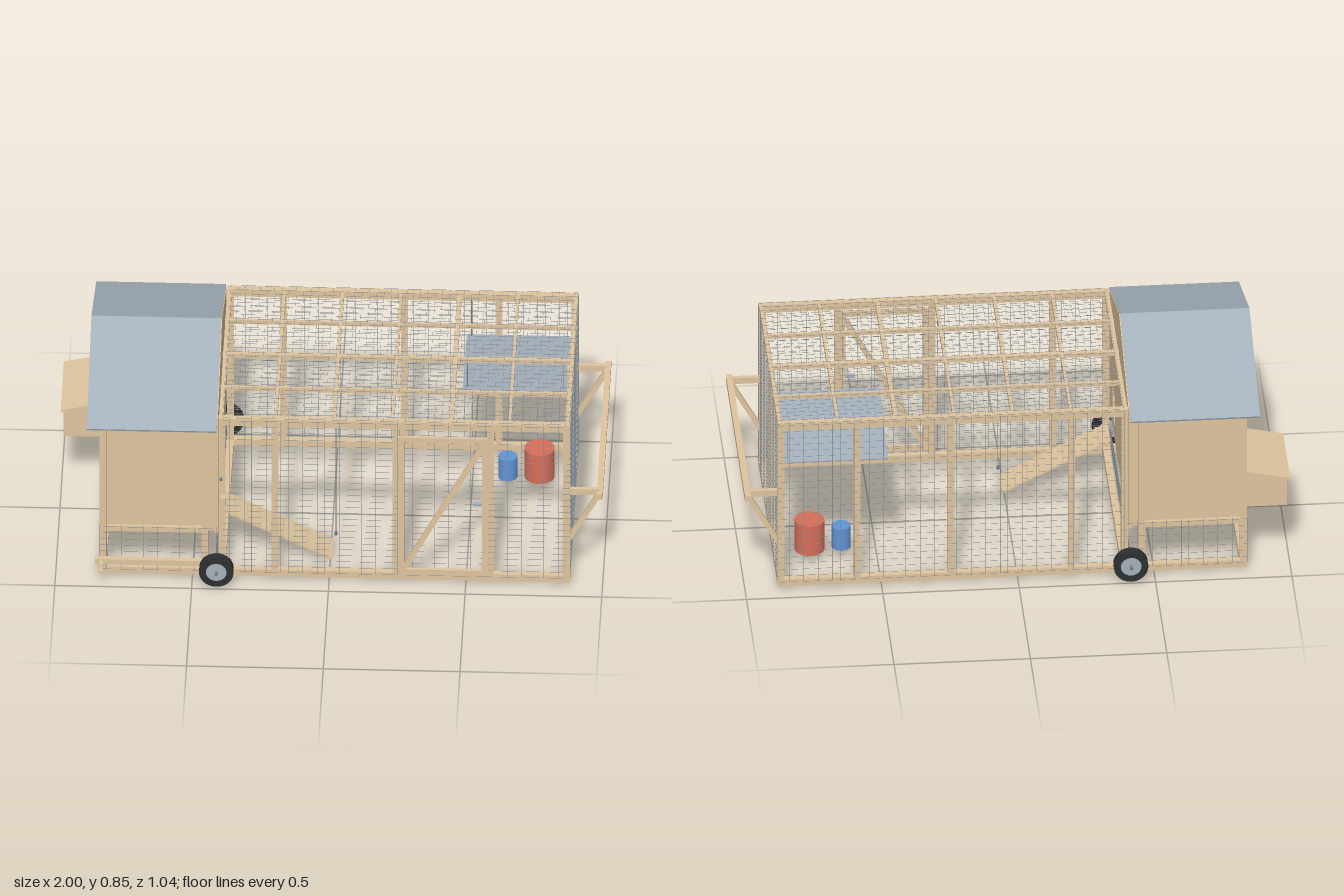
import * as THREE from 'three';
import { mergeGeometries } from 'three/addons/utils/BufferGeometryUtils.js';

const material = (name, color) => {
  const m = new THREE.MeshStandardMaterial({ color });
  m.name = name;
  return m;
};

export function createModel() {
  const root = new THREE.Group();
  root.name = 'mobileCoop';
  const wood = material('wood', 0xdfc59f);
  const metal = material('roof metal', 0xa5b1bb);
  const steel = material('dark steel', 0x747b83);
  const wireMat = material('wire', 0x808a94);
  const rubber = material('tyre rubber', 0x2d2f31);
  const red = material('feeder red', 0xd86e5a);
  const blue = material('drinker blue', 0x5f95d8);

  const add = (name, geo, mat, parent = root) => {
    const m = new THREE.Mesh(geo, mat);
    m.name = name;
    parent.add(m);
    return m;
  };
  const boxGeo = (x0, x1, y0, y1, z0, z1) =>
    new THREE.BoxGeometry(x1 - x0, y1 - y0, z1 - z0).translate((x0 + x1) / 2, (y0 + y1) / 2, (z0 + z1) / 2);
  const box = (name, mat, ...b) => add(name, boxGeo(...b), mat);
  // Rectangular beam between two points in a plane of constant z
  const beamXY = (name, mat, ax, ay, bx, by, z, thick, width) => {
    const m = add(name, new THREE.BoxGeometry(Math.hypot(bx - ax, by - ay), thick, width), mat);
    m.position.set((ax + bx) / 2, (ay + by) / 2, z);
    m.rotation.z = Math.atan2(by - ay, bx - ax);
    return m;
  };
  const cylinder = (name, mat, r, h, x, y, z, axis = 'y', seg = 24) => {
    const m = add(name, new THREE.CylinderGeometry(r, r, h, seg), mat);
    m.position.set(x, y, z);
    if (axis === 'z') m.rotation.x = Math.PI / 2;
    return m;
  };

  const X0 = -0.84, X1 = 0.88, XH = -0.41, ZF = 0.425, ZB = -0.435, ZC = -0.005, T = 0.025;

  // Base frame
  for (const z of [ZB, ZF - T]) box('bottomRail', wood, X0, X1, 0.012, 0.04, z, z + T);
  for (const x of [X0, -0.405, X1 - T]) box('bottomCrossRail', wood, x, x + T, 0.012, 0.04, ZB + T, ZF - T);

  // Run and house posts, the same on both sides
  for (const z of [ZB, ZF - T]) {
    for (const x of [-0.392, -0.198, 0.245, 0.59, X1 - T / 2])
      box('runPost', wood, x - T / 2, x + T / 2, 0.04, 0.675, z, z + T);
    for (const x of [X0 + T / 2, -0.455])
      box('housePost', wood, x - T / 2, x + T / 2, 0.04, 0.688, z, z + T);
    box('houseSill', wood, X0 + T, -0.4675, 0.198, 0.22, z, z + T);
    box('topRail', wood, -0.405, X1, 0.675, 0.705, z, z + T);
  }
  box('endPost', wood, X1 - T, X1, 0.04, 0.675, ZC - 0.01, ZC + 0.01);

  // Open roof grid of the run
  for (const [x, w] of [[-0.395, 0.008], [-0.195, 0.005], [0.018, 0.006], [0.232, 0.005], [0.446, 0.008], [0.66, 0.005], [0.87, 0.008]])
    box('roofCrossBar', wood, x - w, x + w, 0.682, 0.703, ZB + T, ZF - T);
  for (const [z, w] of [[0.205, 0.005], [-0.01, 0.009], [-0.225, 0.005]])
    box('roofLongBar', wood, -0.405, X1, 0.684, 0.701, z - w, z + w);

  // Wire netting: u and v are axes of the panel, w is the fixed axis
  const wires = [];
  const netting = (u, u0, u1, v, v0, v1, w, at, step = 0.0267, t = 0.0004) => {
    const strand = (a, c, b, b0, b1) => {
      const r = {};
      r[a] = [c - t, c + t];
      r[b] = [b0, b1];
      r[w] = [at - t, at + t];
      wires.push(boxGeo(...r.x, ...r.y, ...r.z));
    };
    for (let c = u0; c <= u1; c += step) strand(u, c, v, v0, v1);
    for (let c = v0; c <= v1; c += step) strand(v, c, u, u0, u1);
  };
  for (const z of [ZB - 0.001, ZF + 0.001]) {
    netting('x', -0.39, X1, 'y', 0.03, 0.7, 'z', z);
    netting('x', X0, -0.395, 'y', 0.03, 0.225, 'z', z);
  }
  netting('z', ZB, ZF, 'y', 0.03, 0.7, 'x', X1 + 0.001);
  netting('z', ZB, ZF, 'y', 0.03, 0.22, 'x', X0 - 0.001);
  netting('x', -0.39, X1, 'z', ZB, ZF, 'y', 0.706);
  add('wireNetting', mergeGeometries(wires), wireMat);

  // House end walls with gables, each with one rectangular opening
  const gable = (name, x, z0, z1, y0, y1) => {
    const s = new THREE.Shape();
    s.moveTo(ZB + 0.01, 0.192);
    s.lineTo(ZF - 0.01, 0.192);
    s.lineTo(ZF - 0.01, 0.699);
    s.lineTo(ZC, 0.852);
    s.lineTo(ZB + 0.01, 0.699);
    s.closePath();
    s.holes.push(new THREE.Path([[z0, y0], [z0, y1], [z1, y1], [z1, y0]].map(p => new THREE.Vector2(...p))));
    const g = new THREE.ExtrudeGeometry(s, { depth: 0.012, bevelEnabled: false }).rotateY(-Math.PI / 2);
    add(name, g, wood).position.x = x;
  };
  gable('innerGableWall', XH + 0.003, 0.17, 0.3, 0.26, 0.378);
  gable('outerGableWall', X0 + 0.012, -0.06, 0.35, 0.25, 0.6);

  // House side walls, set back between the posts
  for (const s of [1, -1]) {
    const z = ZC + s * 0.41;
    box('sideWall', wood, X0 + 0.012, XH + 0.002, 0.2, 0.692, z - 0.007, z + 0.007);
  }

  // House floor on joists
  box('houseFloor', wood, X0 + 0.012, XH - 0.01, 0.212, 0.22, ZB + 0.025, ZF - 0.025);
  for (let i = 0; i < 5; i++) {
    const x = -0.79 + i * 0.083;
    box('floorJoist', wood, x - 0.02, x + 0.02, 0.196, 0.212, ZB + 0.02, ZF - 0.02);
  }

  // Pitched roof
  for (const s of [1, -1]) {
    const m = add('roofSheet', new THREE.BoxGeometry(0.475, 0.008, Math.hypot(0.475, 0.175)), metal);
    m.position.set(-0.6475, 0.7635, ZC + s * 0.2375);
    m.rotation.x = s * Math.atan2(0.175, 0.475);
  }

  // Louvred window set into the outer wall
  for (let i = 0; i < 9; i++) {
    const m = add('louverSlat', new THREE.BoxGeometry(0.005, 0.055, 0.41), metal);
    m.position.set(X0 + 0.018, 0.27 + i * 0.0388, 0.145);
    m.rotation.z = -0.65;
  }

  // Nest box with sloping lid
  const nest = new THREE.Shape([[-0.99, 0.25], [X0, 0.25], [X0, 0.394], [-0.99, 0.362]].map(p => new THREE.Vector2(...p)));
  add('nestBox', new THREE.ExtrudeGeometry(nest, { depth: 0.3, bevelEnabled: false }), wood).position.z = -0.405;
  beamXY('nestLid', wood, -1.0, 0.365, X0, 0.4, -0.255, 0.008, 0.315);

  // Ramp with cleats and its cord
  beamXY('ramp', wood, -0.39, 0.205, 0.005, 0.005, 0.232, 0.007, 0.126);
  for (let i = 1; i < 9; i++) {
    const x = -0.39 + 0.395 * i / 9, y = 0.205 - 0.2 * i / 9 + 0.005;
    beamXY('rampCleat', wood, x - 0.004, y + 0.002, x + 0.004, y - 0.002, 0.232, 0.005, 0.126);
  }
  cylinder('rampCord', wireMat, 0.0012, 0.61, 0.018, 0.38, 0.232, 'y', 8);
  cylinder('cordWeight', steel, 0.005, 0.014, 0.018, 0.075, 0.232, 'y', 12);

  // Run door with brace and latch
  const dz0 = ZF + 0.002, dz1 = ZF + 0.014;
  for (const x of [0.253, 0.56]) box('doorStile', wood, x, x + 0.022, 0.042, 0.648, dz0, dz1);
  for (const y of [0.042, 0.626]) box('doorRail', wood, 0.275, 0.56, y, y + 0.022, dz0, dz1);
  beamXY('doorBrace', wood, 0.27, 0.06, 0.562, 0.612, ZF + 0.008, 0.02, 0.01);
  box('doorLatch', metal, 0.527, 0.56, 0.358, 0.37, dz1, dz1 + 0.012);
  box('houseLatch', wood, -0.397, -0.377, 0.338, 0.37, ZF + 0.002, ZF + 0.025);
  box('houseCatch', steel, -0.4, -0.39, 0.435, 0.447, ZF + 0.002, ZF + 0.008);

  // Pull handle
  box('handleBar', wood, 0.978, 1.0, 0.38, 0.405, ZB, ZF);
  for (const z of [0.394, -0.404]) {
    box('handleArm', wood, X1, 0.985, 0.385, 0.41, z - 0.008, z + 0.008);
    beamXY('handleBrace', wood, 0.985, 0.385, 0.875, 0.187, z, 0.018, 0.016);
  }

  // Wheels, axle and lift lever
  cylinder('axle', steel, 0.005, 1.04, -0.41, 0.075, ZC, 'z', 12);
  const tyre = new THREE.Shape().absarc(0, 0, 0.063, 0, Math.PI * 2);
  tyre.holes.push(new THREE.Path().absarc(0, 0, 0.038, 0, Math.PI * 2, true));
  for (const z of [0.484, -0.49]) {
    const g = new THREE.ExtrudeGeometry(tyre, { depth: 0.033, bevelEnabled: false, curveSegments: 32 });
    add('tyre', g, rubber).position.set(-0.41, 0.075, z - 0.0165);
    cylinder('wheelHub', metal, 0.0385, 0.03, -0.41, 0.075, z, 'z', 32);
  }
  box('liftLever', wood, -0.855, -0.42, 0.065, 0.088, ZF + 0.004, ZF + 0.024);
  box('leverGrip', wood, -0.838, -0.826, 0.07, 0.082, ZF + 0.02, 0.515);

  // Hanging shade sheet
  const shade = add('shadeSheet', new THREE.BoxGeometry(0.385, 0.005, 0.427), metal);
  shade.position.set(0.665, 0.547, -0.2);
  shade.rotation.x = -Math.atan2(0.045, 0.425);
  for (const x of [0.49, 0.84])
    for (const [z, y] of [[-0.01, 0.565], [-0.4, 0.525]])
      cylinder('shadeCord', wireMat, 0.0012, 0.69 - y, x, (0.69 + y) / 2, z, 'y', 6);

  // Feeder and drinker
  cylinder('feeder', red, 0.055, 0.125, 0.746, 0.1015, -0.22, 'y', 32);
  cylinder('drinker', blue, 0.035, 0.09, 0.63, 0.084, -0.213, 'y', 32);

  return root;
}
